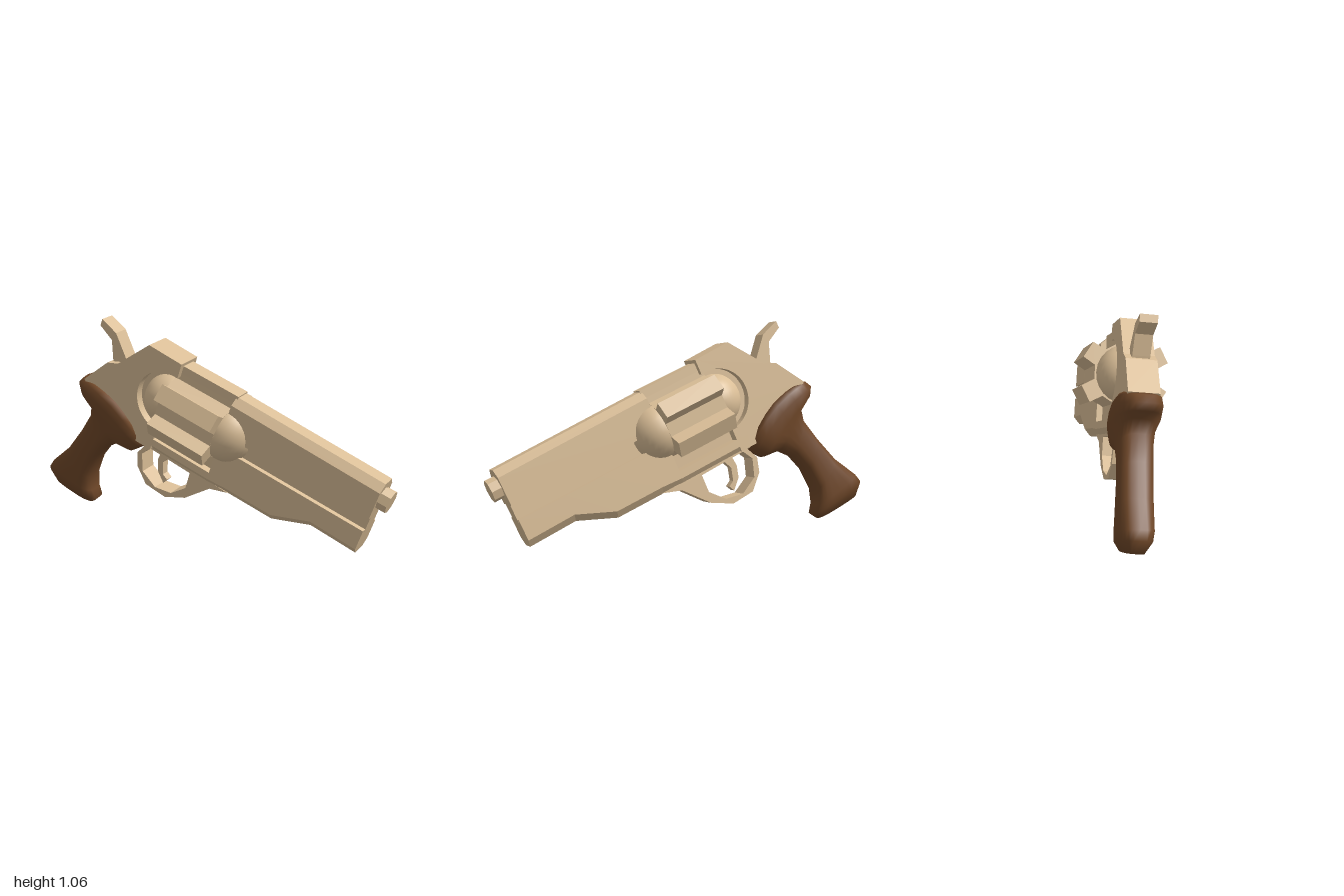
import * as THREE from 'three';

const metal = new THREE.MeshStandardMaterial({ color: 0xdabe97 });
metal.name = 'tan metal';
const wood = new THREE.MeshStandardMaterial({ color: 0x6f4728 });
wood.name = 'brown wood';

const V = (x, y, z) => new THREE.Vector3(x, y, z);

// Skin between closed rings of equal length, capped at both ends.
function loft(rings, smooth) {
  const n = rings[0].length, pos = [], idx = [];
  rings.forEach(r => r.forEach(p => pos.push(p.x, p.y, p.z)));
  for (let i = 0; i < rings.length - 1; i++)
    for (let j = 0; j < n; j++) {
      const a = i * n + j, b = i * n + (j + 1) % n;
      idx.push(a, b, b + n, a, b + n, a + n);
    }
  [0, rings.length - 1].forEach(i => {
    const c = pos.length / 3, mid = V(0, 0, 0);
    rings[i].forEach(p => mid.addScaledVector(p, 1 / n));
    pos.push(mid.x, mid.y, mid.z);
    for (let j = 0; j < n; j++) {
      const a = i * n + j, b = i * n + (j + 1) % n;
      if (i === 0) idx.push(c, b, a); else idx.push(c, a, b);
    }
  });
  let g = new THREE.BufferGeometry();
  g.setAttribute('position', new THREE.Float32BufferAttribute(pos, 3));
  g.setIndex(idx);
  if (!smooth) g = g.toNonIndexed();
  g.computeVertexNormals();
  return g;
}

const shapeOf = pts => new THREE.Shape(pts.map(p => new THREE.Vector2(p[0], p[1])));

// Side profile given as (z, y), extruded evenly to both sides of x = 0.
function sidePlate(shape, half) {
  const g = new THREE.ExtrudeGeometry(shape, { depth: half * 2, bevelEnabled: false, curveSegments: 20 });
  return g.translate(0, 0, -half).rotateY(-Math.PI / 2);
}

export function createModel() {
  const model = new THREE.Group();
  model.name = 'revolver';
  const gun = new THREE.Group();
  gun.name = 'tiltedRevolver';
  model.add(gun);
  const add = (name, geometry, material = metal) => {
    const m = new THREE.Mesh(geometry, material);
    m.name = name;
    gun.add(m);
    return m;
  };
  const H = 0.074, axisY = 0.54, drumBack = -0.425, drumFront = -0.088;

  // Barrel with chamfered top
  const barrelRing = (z, top) => [[-H, 0.553], [H, 0.553], [H, top - 0.038], [0.038, top],
    [-0.038, top], [-H, top - 0.038]].map(p => V(p[0], p[1], z));
  add('barrel', loft([barrelRing(-0.08, 0.758), barrelRing(0.757, 0.74)]));
  add('barrelGrooveCore', new THREE.BoxGeometry(0.096, 0.11, 0.83).translate(0, 0.515, 0.341));
  const muzzle = new THREE.CylinderGeometry(0.058, 0.058, 0.1, 8).toNonIndexed();
  muzzle.computeVertexNormals();
  add('muzzle', muzzle.rotateX(Math.PI / 2).translate(-0.006, 0.65, 0.757));

  // Underside of barrel and strap below the drum, both chamfered
  const underRing = (z, bottom, top) => [[-0.04, bottom], [0.04, bottom], [H, bottom + 0.038],
    [H, top], [-H, top], [-H, bottom + 0.038]].map(p => V(p[0], p[1], z));
  add('foreEnd', loft([[-0.08, 0.238], [0.036, 0.246], [0.3, 0.248], [0.5, 0.335], [0.755, 0.33]]
    .map(([z, y]) => underRing(z, y, 0.478))));
  add('lowerStrap', loft([underRing(-0.5, 0.238, 0.314), underRing(-0.08, 0.238, 0.314)]));

  // Rear frame with rounded socket behind the drum
  const frame = shapeOf([[-0.435, 0.25], [-0.435, axisY - 0.163]]);
  frame.absarc(-0.435, axisY, 0.163, -Math.PI / 2, -Math.PI * 1.5, true);
  [[-0.4, 0.703], [-0.4, 0.783], [-0.603, 0.79], [-0.748, 0.605], [-0.81, 0.579],
    [-0.92, 0.42], [-0.7, 0.25], [-0.5, 0.25]].forEach(p => frame.lineTo(p[0], p[1]));
  add('rearFrame', sidePlate(frame, H));
  add('socketWeb', new THREE.BoxGeometry(0.06, 0.34, 0.2).translate(0, axisY, -0.52));
  add('topStrap', new THREE.BoxGeometry(0.09, 0.05, 0.34).translate(0, 0.74, -0.24));

  // Fluted drum with six lobes and domed ends
  const drum = [];
  for (let k = 0; k < 6; k++) {
    const a = Math.PI / 6 + k * Math.PI / 3;
    [[0.155, -0.3], [0.222, -0.2], [0.222, 0.2], [0.155, 0.3]].forEach(([r, d]) =>
      drum.push([r * Math.cos(a + d), r * Math.sin(a + d)]));
  }
  add('drum', new THREE.ExtrudeGeometry(shapeOf(drum), { depth: drumFront - drumBack, bevelEnabled: false })
    .translate(0, axisY, drumBack));
  [['frontDome', -0.075, 0.152, 1], ['rearDome', -0.428, 0.144, -1]].forEach(([name, z, r, s]) =>
    add(name, new THREE.SphereGeometry(r, 24, 12, 0, Math.PI * 2, 0, Math.PI * 0.55)
      .rotateX(s * Math.PI / 2).translate(0, axisY, z)));

  // Trigger guard, trigger and hammer
  const guard = shapeOf([[0.04, 0.25], [-0.06, 0.215], [-0.174, 0.085], [-0.286, 0.022],
    [-0.412, 0.028], [-0.488, 0.1], [-0.511, 0.178], [-0.47, 0.26]]);
  guard.holes.push(shapeOf([[-0.45, 0.24], [-0.484, 0.184], [-0.451, 0.09], [-0.356, 0.043],
    [-0.258, 0.064], [-0.188, 0.14], [-0.19, 0.235]]));
  add('triggerGuard', sidePlate(guard, 0.05));
  add('trigger', sidePlate(shapeOf([[-0.33, 0.26], [-0.365, 0.188], [-0.346, 0.121], [-0.314, 0.104],
    [-0.33, 0.074], [-0.381, 0.123], [-0.399, 0.186], [-0.39, 0.26]]), 0.022));
  add('hammer', sidePlate(shapeOf([[-0.71, 0.6], [-0.724, 0.632], [-0.822, 0.738], [-0.922, 0.77],
    [-0.923, 0.733], [-0.836, 0.69], [-0.8, 0.595], [-0.78, 0.55]]), 0.042));

  // Grip: each row is back y, z, front y, z, half width and forward bow of the sides
  const rows = [
    [0.42, -0.92, 0.275, -0.525, 0.088, 0.055], [0.41, -0.95, 0.25, -0.502, 0.106, 0.05],
    [0.374, -0.97, 0.209, -0.502, 0.112, 0.045], [0.338, -0.946, 0.156, -0.55, 0.106, 0.03],
    [0.307, -0.865, 0.145, -0.65, 0.088, 0.01], [0.239, -0.846, 0.08, -0.711, 0.082, 0],
    [0.114, -0.879, -0.024, -0.748, 0.081, 0], [-0.044, -0.935, -0.144, -0.754, 0.083, 0],
    [-0.177, -1.014, -0.217, -0.725, 0.083, 0], [-0.225, -1.03, -0.255, -0.69, 0.076, 0],
    [-0.285, -0.979, -0.292, -0.712, 0.046, 0]];
  const N = 24, round = v => Math.sign(v) * Math.abs(v) ** 0.7;
  add('grip', loft(rows.map(([ay, az, by, bz, w, bow]) => Array.from({ length: N }, (_, j) => {
    const t = j / N * Math.PI * 2, e = round(Math.sin(t)) / 2, b = bow * (1 - 4 * e * e);
    return V(round(Math.cos(t)) * w, (ay + by) / 2 + (by - ay) * e + b * 0.94,
      (az + bz) / 2 + (bz - az) * e + b * 0.34);
  })), true), wood);

  // Tilt: muzzle points forward, down and to the left
  const forward = V(0.267, -0.381, 0.885).normalize();
  const up = forward.clone().cross(V(0.962, 0.125, -0.236)).normalize();
  const side = up.clone().cross(forward);
  gun.quaternion.setFromRotationMatrix(new THREE.Matrix4().makeBasis(side, up, forward));
  gun.position.set(0.038, 0, 0);
  return model;
}
